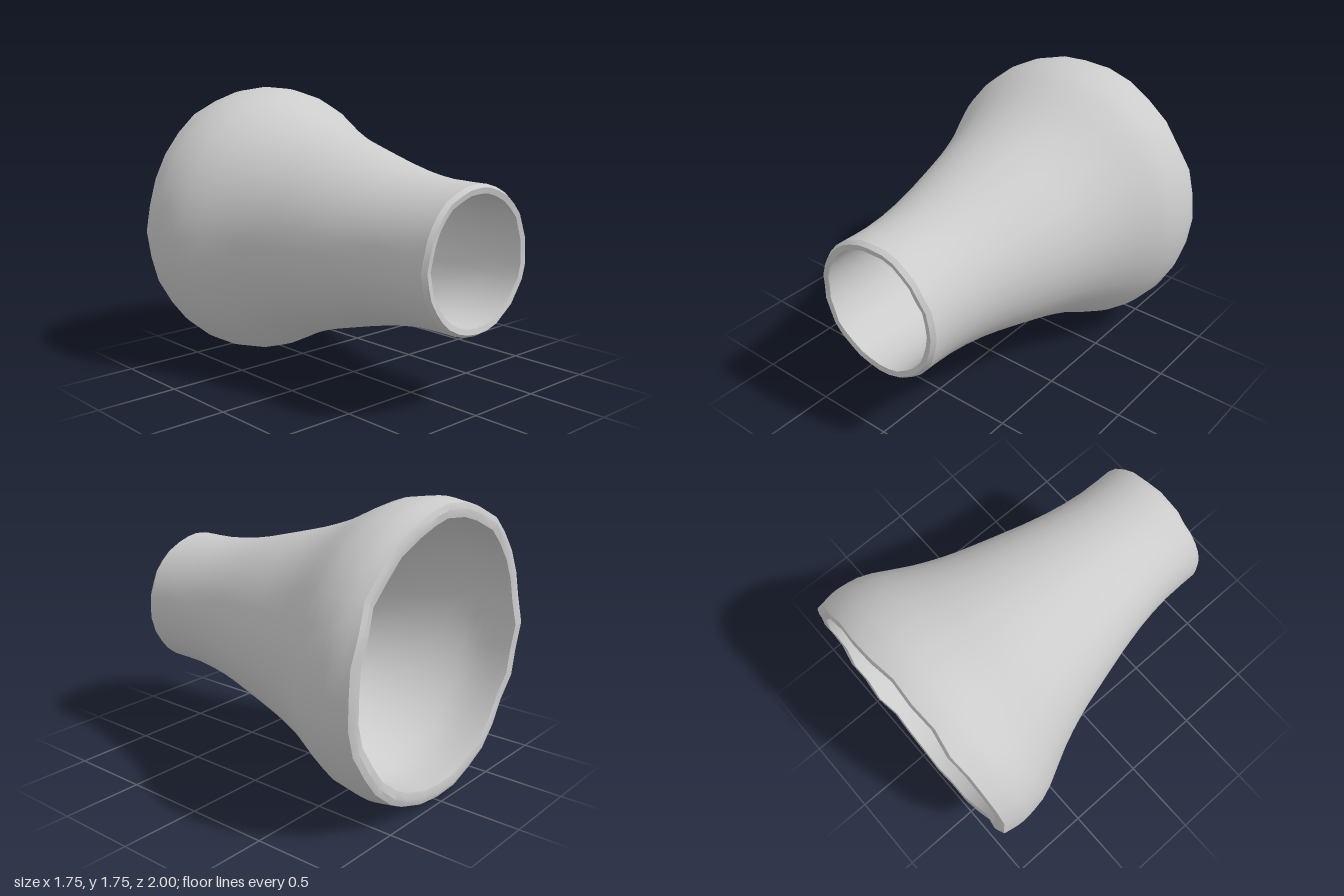
import * as THREE from 'three';
import { toCreasedNormals } from 'three/addons/utils/BufferGeometryUtils.js';

const SIDES = 32;
const CENTRE_Y = 0.87;

// Smooth profile through [radius, z] pairs
function smoothProfile(pairs, steps) {
  return new THREE.SplineCurve(pairs.map(([r, z]) => new THREE.Vector2(r, z))).getPoints(steps);
}

export function createModel() {
  const group = new THREE.Group();
  group.name = 'flaredTube';

  // Inner wall, front to back
  const inner = smoothProfile([
    [0.372, 0.99], [0.375, 0.7], [0.415, 0.4], [0.51, 0], [0.57, -0.2],
    [0.65, -0.4], [0.76, -0.65], [0.785, -0.8], [0.775, -0.975],
  ], 20);
  // Outer wall, back to front
  const outer = smoothProfile([
    [0.855, -0.97], [0.873, -0.87], [0.87, -0.78], [0.84, -0.64], [0.72, -0.4], [0.64, -0.2],
    [0.58, 0], [0.475, 0.4], [0.428, 0.7], [0.423, 0.97],
  ], 20);
  const backLip = new THREE.Vector2(0.82, -0.982);
  const frontLip = new THREE.Vector2(0.405, 0.997);
  const profile = [...inner, backLip, ...outer, frontLip, inner[0].clone()];

  const geometry = new THREE.LatheGeometry(profile, SIDES);

  // Slightly chipped rims: a wobble that repeats around the circle
  const pos = geometry.attributes.position;
  for (let i = 0; i < pos.count; i++) {
    const side = Math.floor(i / profile.length) % SIDES;
    const z = pos.getY(i);
    const wobble = Math.sin(side * 2.4) * Math.cos(side * 5.1);
    if (z < -0.96) pos.setY(i, Math.max(-1, z + 0.018 * wobble));
    if (z > 0.96) pos.setY(i, Math.min(1, z + 0.008 * wobble));
  }

  // Lay the axis along z, narrow end to the front
  geometry.rotateX(Math.PI / 2);
  geometry.deleteAttribute('uv');

  const shell = new THREE.Mesh(
    toCreasedNormals(geometry, 0.5),
    new THREE.MeshStandardMaterial({ color: 0xcccccc, side: THREE.DoubleSide })
  );
  shell.name = 'flaredShell';
  shell.position.y = CENTRE_Y + 0.003;
  group.add(shell);
  return group;
}
